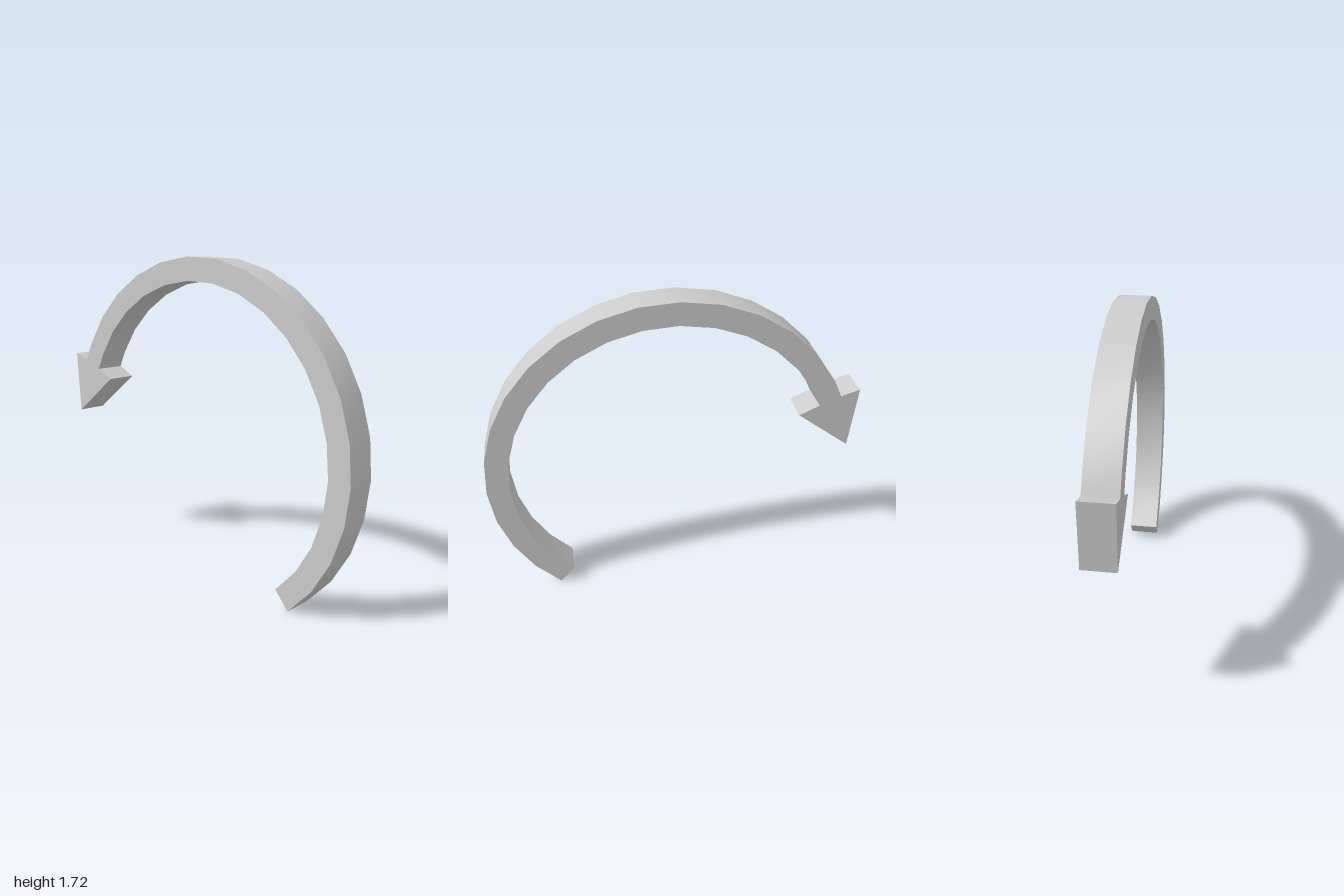
import * as THREE from 'three';
import { toCreasedNormals } from 'three/addons/utils/BufferGeometryUtils.js';

const CENTRE = [0.012, 0.738];
const OUTER = 0.985, INNER = 0.863, HALF_DEPTH = 0.084;

export function createModel() {
  const group = new THREE.Group();
  group.name = 'curvedArrow';

  // Angles of the band's corners: 17 even steps, then a short one into the head
  const angles = [];
  for (let i = 0; i <= 17; i++) angles.push(-48.4 + 11.75 * i);
  angles.push(157.7);

  const onArc = (radius, degrees) => {
    const a = THREE.MathUtils.degToRad(degrees);
    return new THREE.Vector2(CENTRE[0] + radius * Math.cos(a), CENTRE[1] + radius * Math.sin(a));
  };

  // Outline: outer arc, arrowhead, inner arc back to the tail
  const outline = [
    ...angles.map((a) => onArc(OUTER, a)),
    new THREE.Vector2(-1.0, 1.142),
    new THREE.Vector2(-0.973, 0.791),
    new THREE.Vector2(-0.679, 1.016),
    ...angles.slice().reverse().map((a) => onArc(INNER, a)),
  ];

  const extruded = new THREE.ExtrudeGeometry(new THREE.Shape(outline), {
    depth: 2 * HALF_DEPTH,
    bevelEnabled: false,
  });
  extruded.translate(0, 0, -HALF_DEPTH);

  // Smooth along the band, sharp at the rims and the head
  const arrow = new THREE.Mesh(
    toCreasedNormals(extruded, 0.6),
    new THREE.MeshStandardMaterial({ color: 0xcccccc })
  );
  arrow.name = 'arrow';
  group.add(arrow);
  return group;
}
